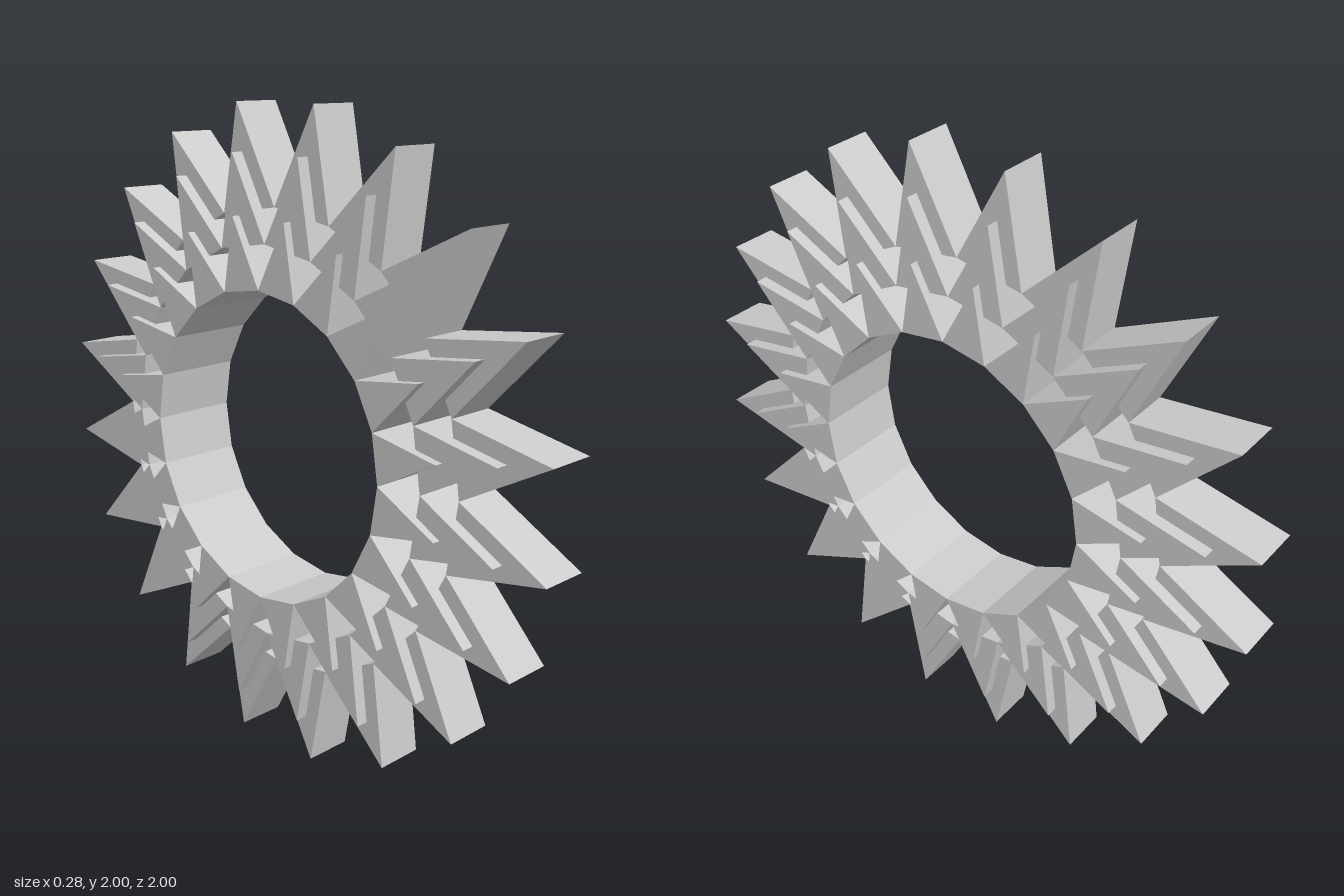
import * as THREE from 'three';

const COUNT = 20;
const STEP = (Math.PI * 2) / COUNT;

// Triangular prism: base on a chord of the ring, apex pointing outwards
function spikeGeometry(baseRadius, tipRadius, width) {
  const half = STEP / 2;
  const y = baseRadius * Math.cos(half);
  const z = baseRadius * Math.sin(half);
  const shape = new THREE.Shape();
  shape.moveTo(-z, y);
  shape.lineTo(z, y);
  shape.lineTo(0, tipRadius);
  shape.closePath();
  const geometry = new THREE.ExtrudeGeometry(shape, { depth: width, bevelEnabled: false });
  geometry.translate(0, 0, -width / 2);
  geometry.rotateY(Math.PI / 2);
  return geometry;
}

export function createModel() {
  const model = new THREE.Group();
  model.name = 'spikedRing';
  const material = new THREE.MeshStandardMaterial({ color: 0xcccccc, flatShading: true });

  // Three concentric rings of spikes, narrower in thickness towards the rim
  const rings = [
    { name: 'innerSpikes', base: 0.478, tip: 0.69, width: 0.284 },
    { name: 'middleSpikes', base: 0.608, tip: 0.87, width: 0.232 },
    { name: 'outerSpikes', base: 0.71, tip: 1.0125, width: 0.154 },
  ];

  for (const { name, base, tip, width } of rings) {
    const ring = new THREE.Group();
    ring.name = name;
    ring.position.y = 1;
    const geometry = spikeGeometry(base, tip, width);
    for (let i = 0; i < COUNT; i++) {
      const spike = new THREE.Mesh(geometry, material);
      spike.name = 'spike';
      spike.rotation.x = (i + 0.5) * STEP;
      ring.add(spike);
    }
    model.add(ring);
  }
  return model;
}
